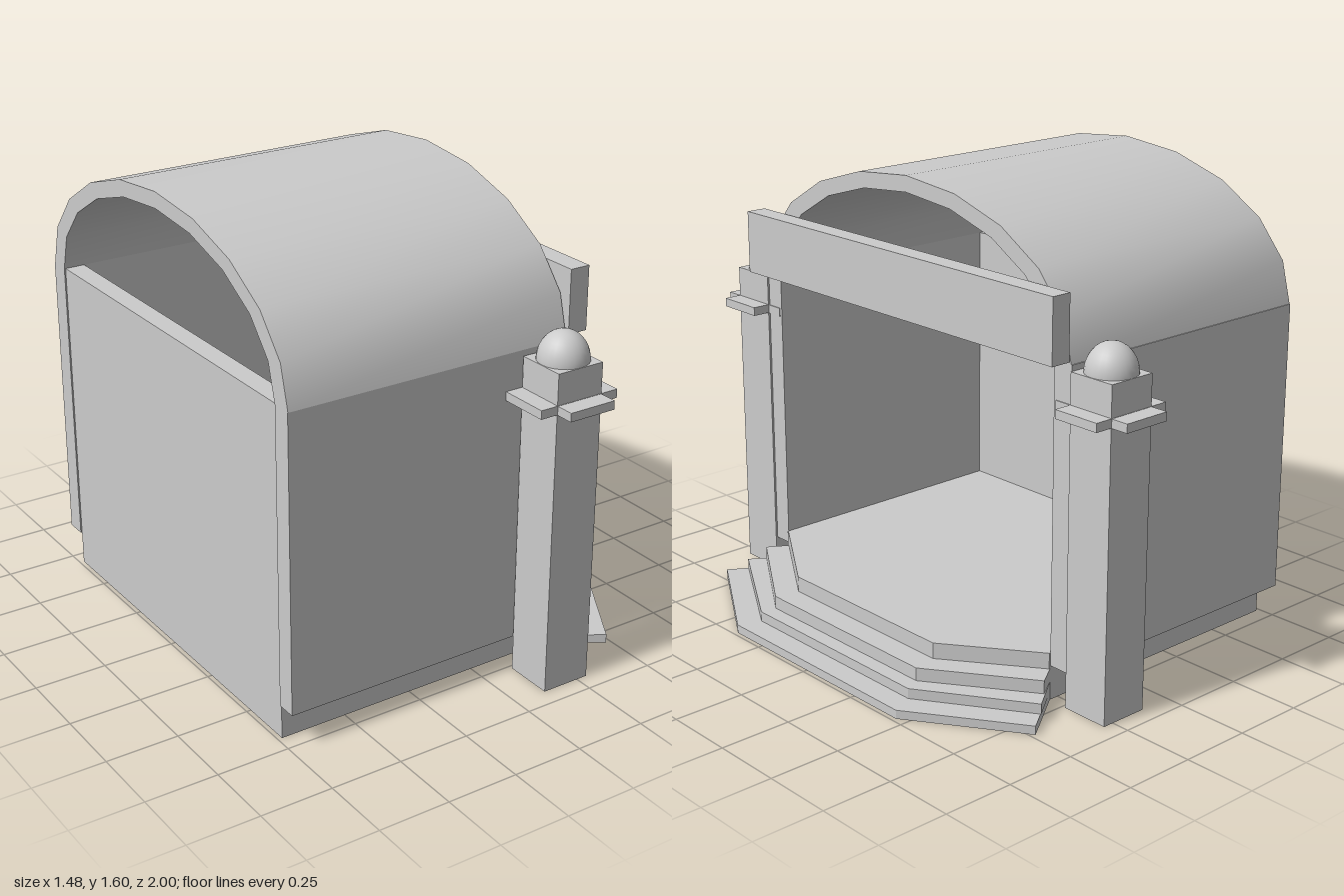
import * as THREE from 'three';
import { toCreasedNormals } from 'three/addons/utils/BufferGeometryUtils.js';

export function createModel() {
  const model = new THREE.Group();
  model.name = 'vaultedShelter';
  const mat = new THREE.MeshStandardMaterial({ color: 0xcccccc });

  const add = (name, geo, parent = model) => {
    const mesh = new THREE.Mesh(geo, mat);
    mesh.name = name;
    parent.add(mesh);
    return mesh;
  };
  // Box given by its minimum and maximum on each axis
  const box = (name, x0, x1, y0, y1, z0, z1, parent) => {
    const geo = new THREE.BoxGeometry(x1 - x0, y1 - y0, z1 - z0);
    geo.translate((x0 + x1) / 2, (y0 + y1) / 2, (z0 + z1) / 2);
    return add(name, geo, parent);
  };

  // Floor slab and walls, open towards +x
  box('floor', -0.735, 0.29, 0, 0.165, -0.69, 0.69);
  box('backWall', -0.735, -0.665, 0.165, 1.14, -0.69, 0.69);
  box('leftSideWall', -0.74, 0.285, 0.12, 1.14, -0.765, -0.69);
  box('rightSideWall', -0.74, 0.285, 0.12, 1.14, 0.69, 0.76);

  // Barrel roof: half-ellipse ring extruded along x
  const ring = [];
  const segments = 10;
  for (let i = 0; i <= segments; i++) {
    const a = (i / segments) * Math.PI;
    ring.push(new THREE.Vector2(0.762 * Math.cos(a), 0.46 * Math.sin(a)));
  }
  for (let i = segments; i >= 0; i--) {
    const a = (i / segments) * Math.PI;
    ring.push(new THREE.Vector2(0.69 * Math.cos(a), 0.405 * Math.sin(a)));
  }
  const roof = new THREE.ExtrudeGeometry(new THREE.Shape(ring), { depth: 1.025, bevelEnabled: false });
  roof.rotateY(Math.PI / 2);
  roof.translate(-0.74, 1.14, 0);
  add('barrelRoof', toCreasedNormals(roof, 0.7));

  // Beam across the opening
  box('frontBeam', 0.295, 0.367, 1.15, 1.367, -0.763, 0.76);

  // Pillars with a crossed collar and a domed cap
  for (const side of [-1, 1]) {
    const pillar = new THREE.Group();
    pillar.name = side > 0 ? 'rightPillar' : 'leftPillar';
    pillar.position.set(0.202, 0, side * 0.85);
    model.add(pillar);
    box('shaft', -0.087, 0.087, 0, 1.12, -0.086, 0.086, pillar);
    box('collarAlong', -0.15, 0.15, 0.985, 1.015, -0.087, 0.087, pillar);
    box('collarAcross', -0.086, 0.086, 0.984, 1.014, -0.15, 0.15, pillar);
    const dome = add('dome', new THREE.SphereGeometry(0.085, 24, 10, 0, Math.PI * 2, 0, Math.PI / 2), pillar);
    dome.scale.y = 1.16;
    dome.position.y = 1.12;
  }

  // Steps with angled corners: front x, corner z range, end x, end z range, y range
  const steps = [
    [0.735, -0.46, 0.39, 0.483, -0.83, 0.81, 0, 0.03],
    [0.655, -0.425, 0.36, 0.415, -0.785, 0.77, 0.03, 0.065],
    [0.6, -0.4, 0.35, 0.36, -0.74, 0.73, 0.065, 0.11],
    [0.515, -0.385, 0.33, 0.29, -0.69, 0.685, 0.11, 0.165],
  ];
  steps.forEach(([x, c0, c1, ex, e0, e1, y0, y1], i) => {
    const outline = [[0.285, 0.685], [ex, e1], [x, c1], [x, c0], [ex, e0], [0.285, -0.69]];
    const shape = new THREE.Shape(outline.map(([px, pz]) => new THREE.Vector2(px, -pz)));
    const geo = new THREE.ExtrudeGeometry(shape, { depth: y1 - y0, bevelEnabled: false });
    geo.rotateX(-Math.PI / 2);
    geo.translate(0, y0, 0);
    add(`step${i + 1}`, geo);
  });

  return model;
}
